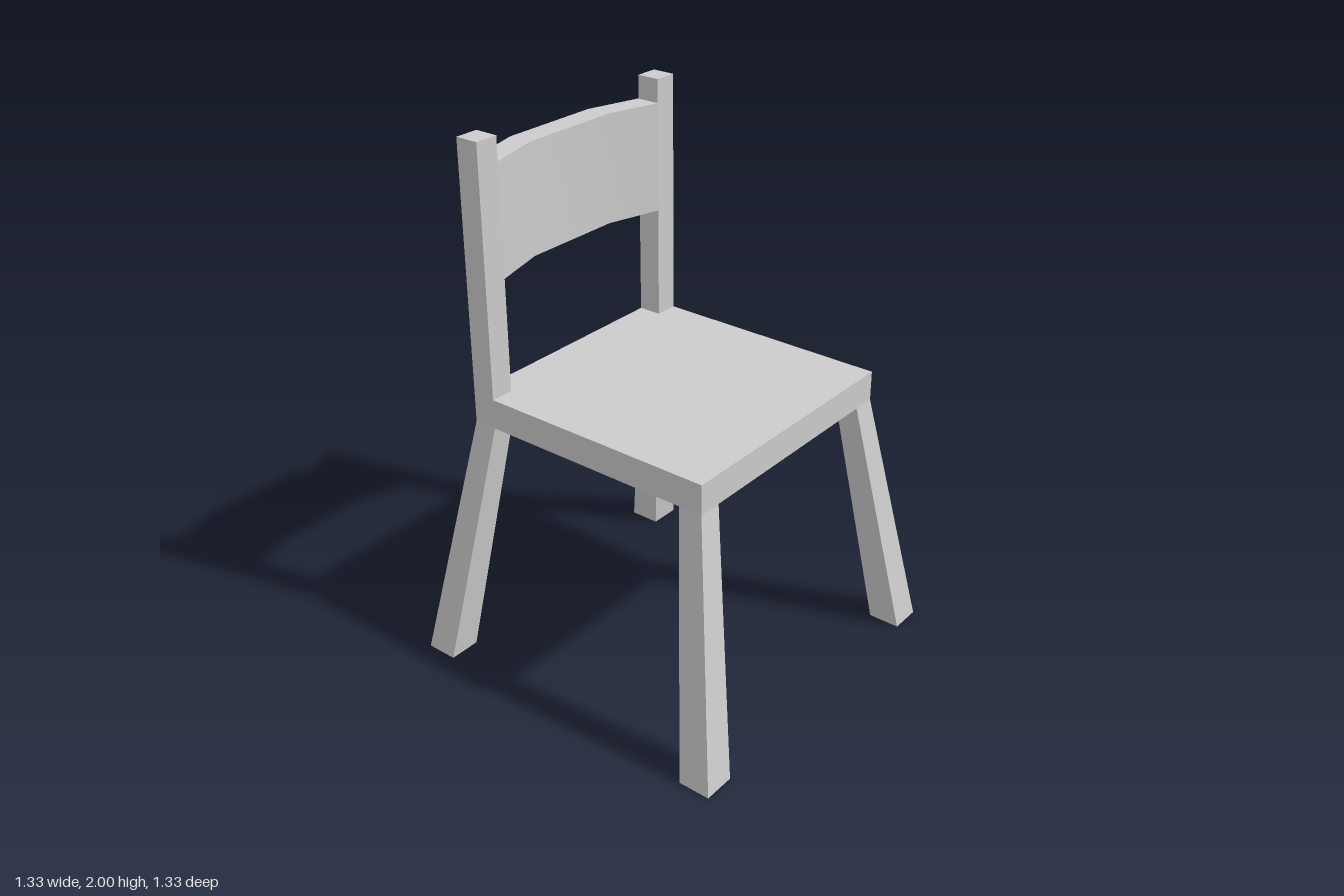
import * as THREE from 'three';
import { toCreasedNormals } from 'three/addons/utils/BufferGeometryUtils.js';

const SEAT_BOTTOM = 0.963, SEAT_TOP = 1.075, HALF = 0.5, POST = 0.09;

export function createModel() {
  const group = new THREE.Group();
  const material = new THREE.MeshStandardMaterial({ color: 0xcccccc });
  const add = (name, geometry, x = 0, y = 0, z = 0) => {
    const mesh = new THREE.Mesh(geometry, material);
    mesh.name = name;
    mesh.position.set(x, y, z);
    group.add(mesh);
  };

  // Flat square seat
  add('seat', new THREE.BoxGeometry(2 * HALF, SEAT_TOP - SEAT_BOTTOM, 2 * HALF),
    0, (SEAT_TOP + SEAT_BOTTOM) / 2, 0);

  // Splayed leg: widens and leans outward towards the floor
  const legGeometry = (sx, sz) => {
    const geometry = new THREE.BoxGeometry(1, SEAT_BOTTOM, 1);
    const p = geometry.attributes.position;
    for (let i = 0; i < p.count; i++) {
      const top = p.getY(i) > 0;
      const centre = top ? HALF - POST / 2 : 0.604;
      const width = top ? POST : 0.122;
      p.setX(i, sx * centre + p.getX(i) * width);
      p.setZ(i, sz * centre + p.getZ(i) * width);
    }
    geometry.computeVertexNormals();
    return geometry;
  };

  for (const [side, sx] of [['left', 1], ['right', -1]]) {
    add(side + 'FrontLeg', legGeometry(sx, 1), 0, SEAT_BOTTOM / 2, 0);
    add(side + 'BackLeg', legGeometry(sx, -1), 0, SEAT_BOTTOM / 2, 0);
    // Upright back post
    const height = 2 - SEAT_TOP;
    add(side + 'BackPost', new THREE.BoxGeometry(POST, height, POST),
      sx * (HALF - POST / 2), SEAT_TOP + height / 2, -HALF + POST / 2);
  }

  // Bowed backrest slat between the posts (shape y is the distance behind centre)
  const xi = HALF - POST;
  const outline = [
    [-xi, 0.41], [-0.2, 0.468], [0.2, 0.468], [xi, 0.41],
    [xi, 0.502], [0.2, 0.56], [-0.2, 0.56], [-xi, 0.502],
  ].map(([x, y]) => new THREE.Vector2(x, y));
  const slat = new THREE.ExtrudeGeometry(new THREE.Shape(outline),
    { depth: 0.412, bevelEnabled: false });
  slat.rotateX(-Math.PI / 2);
  add('backrest', toCreasedNormals(slat, 0.6), 0, 1.5, 0);

  return group;
}
